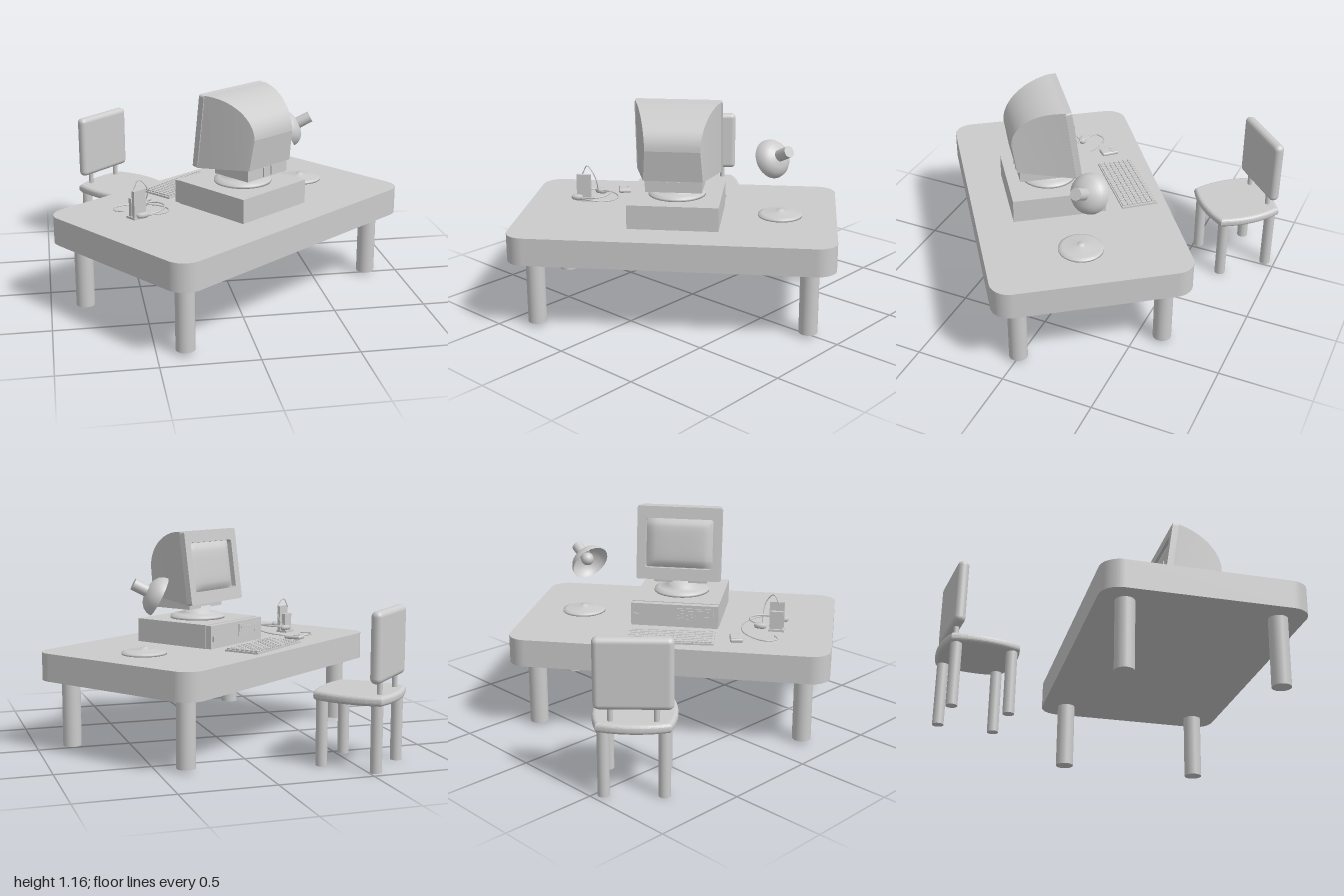
import * as THREE from 'three';
import { RoundedBoxGeometry } from 'three/addons/geometries/RoundedBoxGeometry.js';

const material = new THREE.MeshStandardMaterial({ color: 0xcccccc, side: THREE.DoubleSide });
const V = (x, y, z) => new THREE.Vector3(x, y, z);

function add(parent, name, geometry, x = 0, y = 0, z = 0) {
  const mesh = new THREE.Mesh(geometry, material);
  mesh.name = name;
  mesh.position.set(x, y, z);
  parent.add(mesh);
  return mesh;
}

function group(parent, name, x, y, z, degrees) {
  const g = new THREE.Group();
  g.name = name;
  g.position.set(x, y, z);
  g.rotation.y = THREE.MathUtils.degToRad(degrees);
  parent.add(g);
  return g;
}

const box = (w, h, d) => new THREE.BoxGeometry(w, h, d);
const cyl = (r, h, n = 24) => new THREE.CylinderGeometry(r, r, h, n);
const lathe = (pts, n = 32) => new THREE.LatheGeometry(pts.map(p => new THREE.Vector2(...p)), n);
const tube = (pts, r) => new THREE.TubeGeometry(new THREE.CatmullRomCurve3(pts.map(p => V(...p))), 48, r, 6);

function roundedRect(w, h, r, Type = THREE.Shape) {
  const s = new Type(), a = w / 2 - r, b = h / 2 - r;
  s.absarc(a, b, r, 0, Math.PI / 2);
  s.absarc(-a, b, r, Math.PI / 2, Math.PI);
  s.absarc(-a, -b, r, Math.PI, Math.PI * 1.5);
  s.absarc(a, -b, r, Math.PI * 1.5, Math.PI * 2);
  s.closePath();
  return s;
}

function fourLegs(parent, a, b, r, bottom, top) {
  for (const sx of [-1, 1]) for (const sz of [-1, 1]) {
    add(parent, 'leg', cyl(r, top - bottom, 20), sx * a, (top + bottom) / 2, sz * b);
  }
}

function buildDesk(root) {
  const desk = group(root, 'desk', 0, 0, 0.11, 216);
  const top = new THREE.ExtrudeGeometry(roundedRect(1.72, 1.06, 0.105),
    { depth: 0.15, bevelEnabled: false, curveSegments: 10 });
  top.rotateX(-Math.PI / 2);
  add(desk, 'deskTop', top, 0, 0.38, 0);
  fourLegs(desk, 0.723, 0.391, 0.05, 0.015, 0.385);
  return desk;
}

function buildComputer(desk) {
  const pc = group(desk, 'computer', 0, 0, -0.07, 0);
  add(pc, 'caseBody', box(0.485, 0.13, 0.475), 0, 0.595, -0.018);
  add(pc, 'caseBezel', box(0.48, 0.126, 0.035), 0, 0.594, 0.238);
  // front panel details
  add(pc, 'drivePanel', box(0.2, 0.07, 0.008), 0.115, 0.605, 0.257);
  add(pc, 'driveSlot', box(0.16, 0.012, 0.008), 0.115, 0.622, 0.262);
  add(pc, 'ejectButton', box(0.035, 0.014, 0.01), 0.175, 0.592, 0.262);
  add(pc, 'powerButton', box(0.03, 0.03, 0.012), -0.21, 0.585, 0.258);
  for (let i = 0; i < 4; i++) add(pc, 'ventRib', box(0.1, 0.005, 0.006), 0.07, 0.578 + i * 0.01, 0.26);
}

function buildMonitor(desk) {
  const monitor = group(desk, 'monitor', 0, 0, 0, 0);
  add(monitor, 'swivelStand', lathe([[0, 0.66], [0.155, 0.66], [0.155, 0.672], [0.13, 0.685],
    [0.075, 0.69], [0.075, 0.73], [0, 0.73]]), 0, 0, -0.09);
  add(monitor, 'bracket', box(0.3, 0.07, 0.24), 0, 0.755, -0.15);
  for (const s of [-1, 1]) add(monitor, 'bracketRib', box(0.012, 0.05, 0.015), s * 0.03, 0.752, -0.27);

  // tapering shell whose top rolls down towards the back
  const shell = new THREE.BoxGeometry(1, 1, 1, 1, 1, 16), p = shell.attributes.position;
  for (let i = 0; i < p.count; i++) {
    const upper = p.getY(i) > 0, a = (0.5 - p.getZ(i)) * Math.PI / 2, t = Math.sin(a);
    const half = 0.232 - 0.087 * t + (upper ? 0 : 0.012 * t);
    const z = upper ? -0.03 - 0.28 * t : 0.025 - 0.31 * t;
    p.setXYZ(i, Math.sign(p.getX(i)) * half, upper ? 0.95 + 0.205 * Math.cos(a) : 0.755 + 0.03 * t, z);
  }
  shell.computeVertexNormals();
  add(monitor, 'shell', shell);

  // tilted screen surround and bulging glass
  const face = group(monitor, 'screenFace', 0, 0.955, 0, 0);
  face.rotation.x = -0.137;
  const frame = roundedRect(0.47, 0.405, 0.012);
  frame.holes.push(roundedRect(0.375, 0.275, 0.015, THREE.Path));
  add(face, 'screenFrame', new THREE.ExtrudeGeometry(frame, { depth: 0.035, bevelEnabled: false }), 0, 0, -0.008);
  const glass = new THREE.PlaneGeometry(0.37, 0.27, 14, 12), g = glass.attributes.position;
  for (let i = 0; i < g.count; i++) {
    const x = g.getX(i) / 0.185, y = g.getY(i) / 0.135;
    g.setZ(i, 0.025 * Math.sqrt(Math.max(0, (1 - x ** 4) * (1 - y ** 4))));
  }
  glass.computeVertexNormals();
  add(face, 'screenGlass', glass);
}

function buildLamp(root) {
  const lamp = group(root, 'lamp', 0, 0, 0, 0);
  add(lamp, 'lampBase', lathe([[0, 0], [0.12, 0], [0.12, 0.01], [0.1, 0.018], [0.022, 0.022],
    [0.02, 0.034], [0, 0.036]]), 0.46, 0.53, -0.2);
  const head = group(lamp, 'lampHead', 0.38, 0.83, -0.215, 0);
  head.quaternion.setFromUnitVectors(V(0, 1, 0), V(0.88, 0.46, 0.13).normalize());
  add(head, 'shade', lathe([[0.108, 0], [0.104, 0.022], [0.09, 0.045], [0.066, 0.064], [0.034, 0.074]]));
  add(head, 'socket', cyl(0.032, 0.08), 0, 0.112, 0);
  add(head, 'bulb', new THREE.SphereGeometry(0.036, 20, 14), 0, 0.036, 0);
}

function buildKeyboardAndMouse(root) {
  const keyboard = group(root, 'keyboard', -0.217, 0.53, -0.18, 220);
  add(keyboard, 'keyboardBase', box(0.475, 0.01, 0.203), 0, 0.005, 0);
  const columns = 20, rows = 7;
  for (let r = 0; r < rows; r++) for (let c = 0; c < columns; c++) {
    add(keyboard, 'key', box(0.018, 0.008, 0.022),
      (c - (columns - 1) / 2) * 0.023, 0.013, (r - (rows - 1) / 2) * 0.028);
  }
  const mouse = group(root, 'mouse', -0.487, 0.53, 0.048, 225);
  add(mouse, 'mouseBody', new RoundedBoxGeometry(0.07, 0.022, 0.1, 5, 0.01), 0, 0.011, 0);
  for (const s of [-1, 1]) add(mouse, 'mouseButton', box(0.028, 0.004, 0.035), s * 0.016, 0.022, 0.025);
}

function buildHeadset(root) {
  const set = group(root, 'headsetAndHolder', 0, 0, 0, 0);
  const holder = group(set, 'holder', -0.535, 0.53, 0.32, 216);
  add(holder, 'holderBack', box(0.08, 0.155, 0.018), 0, 0.078, -0.02);
  add(holder, 'holderFront', box(0.07, 0.1, 0.02), 0, 0.06, 0.01);
  add(holder, 'holderFoot', box(0.085, 0.012, 0.065), 0, 0.006, 0);
  // cord lying on the desk, and a thin loop standing up beside the holder
  add(set, 'cord', tube([[-0.6, 0.535, 0.23], [-0.645, 0.535, 0.2], [-0.62, 0.535, 0.14], [-0.54, 0.535, 0.125],
    [-0.43, 0.54, 0.16], [-0.365, 0.55, 0.26], [-0.38, 0.56, 0.35], [-0.44, 0.57, 0.4], [-0.51, 0.57, 0.4]], 0.004));
  add(set, 'wireLoop', tube([[-0.55, 0.68, 0.32], [-0.52, 0.73, 0.31], [-0.48, 0.69, 0.3],
    [-0.475, 0.63, 0.28], [-0.5, 0.57, 0.25]], 0.003));
  add(set, 'headband', tube([[-0.5, 0.575, 0.225], [-0.42, 0.58, 0.235], [-0.385, 0.58, 0.3],
    [-0.42, 0.575, 0.37], [-0.51, 0.57, 0.4]], 0.005));
  for (const [x, z] of [[-0.5, 0.225], [-0.51, 0.4]]) {
    const pad = add(set, 'earPad', lathe([[0, -0.012], [0.03, -0.012], [0.036, 0], [0.03, 0.012], [0, 0.012]], 20), x, 0.57, z);
    pad.scale.z = 0.6;
    pad.rotation.y = 0.4;
  }
}

function buildChair(root) {
  const chair = group(root, 'chair', -0.54, 0, -0.735, 44);
  // square seat with bowed edges
  const h = 0.165, bow = 0.215, seat = new THREE.Shape();
  seat.moveTo(h, -h);
  seat.quadraticCurveTo(bow, 0, h, h);
  seat.quadraticCurveTo(0, bow, -h, h);
  seat.quadraticCurveTo(-bow, 0, -h, -h);
  seat.quadraticCurveTo(0, -bow, h, -h);
  const seatGeometry = new THREE.ExtrudeGeometry(seat,
    { depth: 0.01, bevelSize: 0.02, bevelThickness: 0.02, bevelSegments: 5, curveSegments: 10 });
  seatGeometry.rotateX(-Math.PI / 2);
  add(chair, 'seat', seatGeometry, 0, 0.36, 0);
  fourLegs(chair, 0.147, 0.147, 0.03, 0, 0.35);
  add(chair, 'backrest', new RoundedBoxGeometry(0.385, 0.36, 0.06, 5, 0.028), 0, 0.63, -0.145);
  for (const s of [-1, 1]) add(chair, 'backPost', cyl(0.014, 0.1, 16), s * 0.11, 0.42, -0.145);
}

export function createModel() {
  const root = new THREE.Group();
  root.name = 'computerDeskWithChair';
  const desk = buildDesk(root);
  buildComputer(desk);
  buildMonitor(desk);
  buildLamp(root);
  buildKeyboardAndMouse(root);
  buildHeadset(root);
  buildChair(root);
  return root;
}
